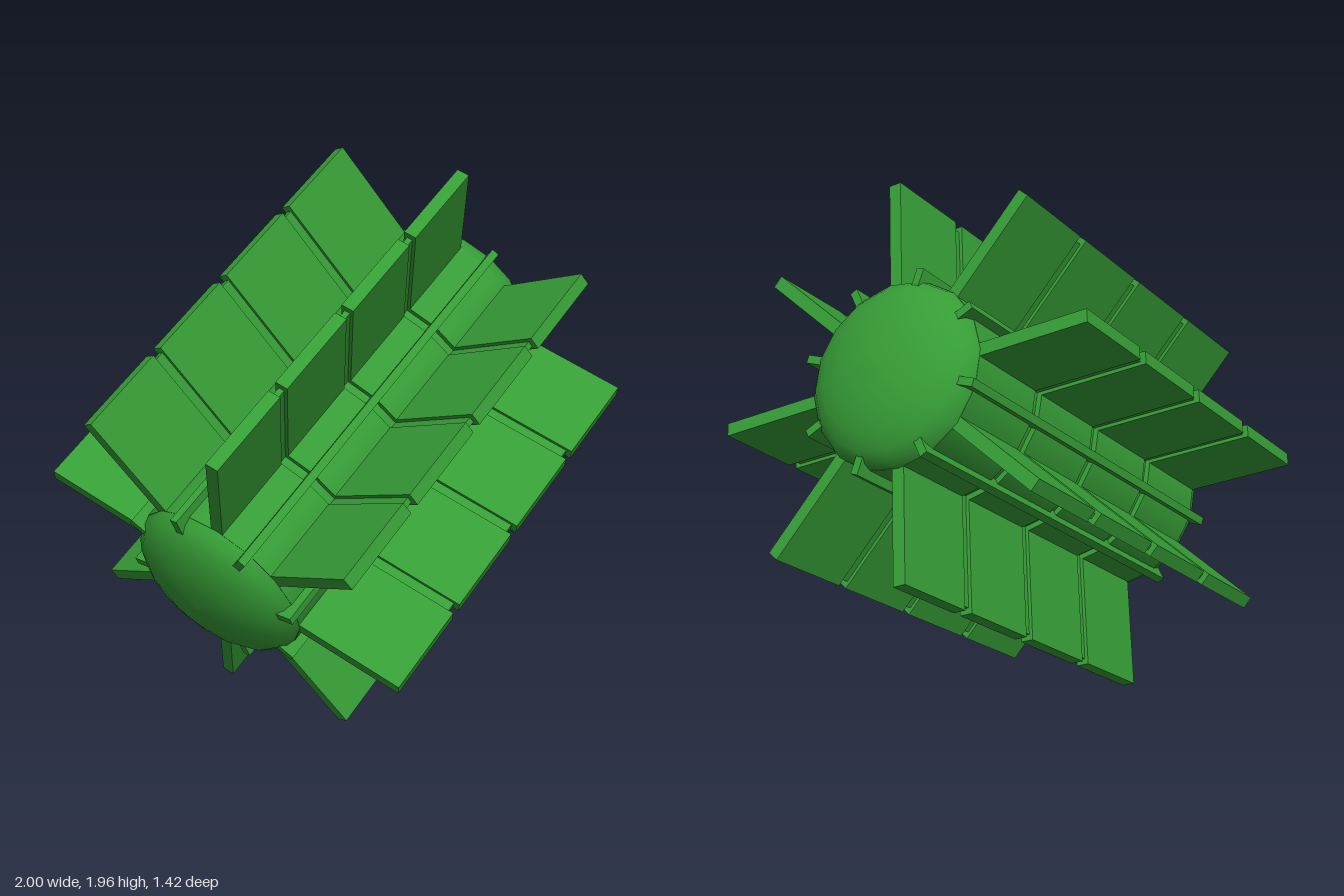
import * as THREE from 'three';

const HALF = 0.755;      // half length of the finned body
const GAP = 0.04;        // seam between neighbouring segments
const SEGMENTS = 4;
const LEN = (2 * HALF - GAP * (SEGMENTS - 1)) / SEGMENTS;

export function createModel() {
  const green = new THREE.MeshStandardMaterial({ color: 0x369d36 });
  green.name = 'leafGreen';

  const model = new THREE.Group();
  model.name = 'finnedBody';
  const body = new THREE.Group();
  body.name = 'tiltedBody';
  // local y is the long axis, tilted about 28 degrees above horizontal
  body.rotation.z = THREE.MathUtils.degToRad(-61.9);
  body.position.y = 0.985;
  model.add(body);

  const add = (parent, name, geometry, x = 0, y = 0) => {
    const mesh = new THREE.Mesh(geometry, green);
    mesh.name = name;
    mesh.position.set(x, y, 0);
    parent.add(mesh);
    return mesh;
  };
  // box spanning radii r0 to r1
  const blade = (parent, name, r0, r1, length, thick, y = 0) =>
    add(parent, name, new THREE.BoxGeometry(r1 - r0, length, thick), (r0 + r1) / 2, y);

  const segmentY = (i) => -HALF + LEN / 2 + i * (LEN + GAP);

  // inner core, visible in the seams, and four outer sleeves
  add(body, 'innerCore', new THREE.CylinderGeometry(0.325, 0.325, 2 * HALF - 0.02, 16));
  for (let i = 0; i < SEGMENTS; i++) {
    add(body, 'coreSegment', new THREE.CylinderGeometry(0.345, 0.345, LEN, 16), 0, segmentY(i));
  }

  // shallow rounded caps at both ends
  const profile = [];
  for (let i = 0; i <= 6; i++) {
    const a = (i / 6) * Math.PI / 2;
    profile.push(new THREE.Vector2(Math.max(0, 0.345 * Math.cos(a)), 0.15 * Math.sin(a)));
  }
  const cap = new THREE.LatheGeometry(profile, 16);
  add(body, 'frontCap', cap, 0, HALF - 0.005);
  add(body, 'rearCap', cap, 0, -HALF + 0.005).rotation.x = Math.PI;

  for (let k = 0; k < 8; k++) {
    // segmented fin on a thinner web
    const fin = new THREE.Group();
    fin.name = 'fin';
    fin.rotation.y = (k + 0.5) * Math.PI / 4;
    body.add(fin);
    blade(fin, 'finWeb', 0.28, 0.735, 2 * HALF - 0.02, 0.022);
    for (let i = 0; i < SEGMENTS; i++) {
      blade(fin, 'finPanel', 0.28, 0.757, LEN, 0.048, segmentY(i));
    }

    // narrow ridge midway between two fins
    const ridge = new THREE.Group();
    ridge.name = 'ridge';
    ridge.rotation.y = k * Math.PI / 4;
    body.add(ridge);
    blade(ridge, 'ridgeStrip', 0.3, 0.375, 1.62, 0.03);
  }
  return model;
}
